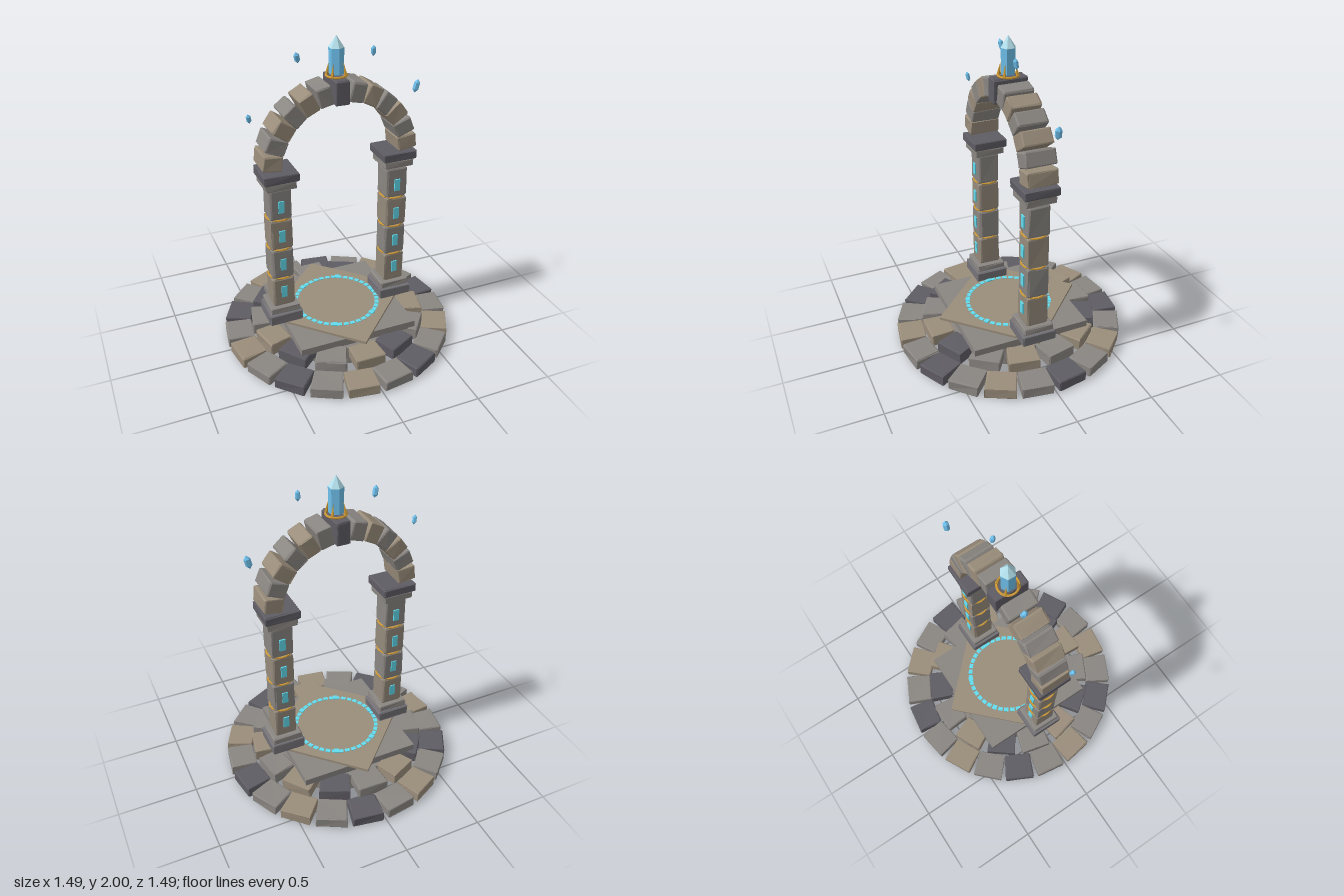
import * as THREE from 'three';
import { RoundedBoxGeometry } from 'three/addons/geometries/RoundedBoxGeometry.js';

const paint = (color) => new THREE.MeshStandardMaterial({ color, flatShading: true });
const tan = paint(0x9a8d7b), grey = paint(0x8a8682), dark = paint(0x5f5d64);
const shaftStone = paint(0x958a7c), capStone = paint(0x737176);
const gold = paint(0xcf9a35), glow = paint(0x62dcee);
const crystalBlue = paint(0x6fc0ec), crystalTip = paint(0xb5e2ee);

// Repeatable value in -1..1 from a point, so that shared corners move together
function hash(x, y, z, seed) {
  const s = Math.sin(x * 127.1 + y * 311.7 + z * 74.7 + seed * 19.3) * 43758.5453;
  return (s - Math.floor(s)) * 2 - 1;
}

function add(parent, name, geometry, material, x = 0, y = 0, z = 0) {
  const mesh = new THREE.Mesh(geometry, material);
  mesh.name = name;
  mesh.position.set(x, y, z);
  parent.add(mesh);
  return mesh;
}

// Hewn block: chamfered box, slightly uneven, optionally wider towards +x
let seed = 1;
function block(w, h, d, { chip = 0.003, taper = 0, bevel = 0.007 } = {}) {
  const geo = new RoundedBoxGeometry(w, h, d, 1, bevel);
  const p = geo.attributes.position;
  seed++;
  for (let i = 0; i < p.count; i++) {
    const [x, y, z] = [p.getX(i), p.getY(i), p.getZ(i)];
    const k = [x, y, z].map((v) => Math.round(v * 1000));
    p.setXYZ(i,
      x + chip * hash(k[0], k[1], k[2], seed),
      y + chip * 0.6 * hash(k[1], k[2], k[0], seed),
      z * (1 + taper * x / w) + chip * hash(k[2], k[0], k[1], seed));
  }
  geo.computeVertexNormals();
  return geo;
}

// Ring of wedge stones lying flat
function stoneRing(parent, name, count, radius, y, size, cycle) {
  const ring = new THREE.Group();
  ring.name = name;
  for (let i = 0; i < count; i++) {
    const a = ((i + 0.5) / count) * Math.PI * 2;
    const stone = add(ring, 'ringStone', block(...size, { taper: 0.1, chip: 0.003 }),
      cycle[i % cycle.length], Math.cos(a) * radius, y, Math.sin(a) * radius);
    stone.rotation.y = -a;
  }
  parent.add(ring);
}

function buildBase(root) {
  const base = new THREE.Group();
  base.name = 'base';
  root.add(base);
  stoneRing(base, 'outerStoneRing', 20, 0.653, 0.04, [0.168, 0.07, 0.188], [grey, tan, grey, dark]);
  stoneRing(base, 'innerStoneRing', 14, 0.488, 0.097, [0.156, 0.08, 0.188], [tan, grey, dark]);
  add(base, 'coreDisc', new THREE.CylinderGeometry(0.43, 0.43, 0.12, 40), grey, 0, 0.07, 0);
  add(base, 'squareSlab', new THREE.BoxGeometry(0.775, 0.05, 0.775), grey, 0, 0.155, 0);
  add(base, 'diamondSlab', new THREE.BoxGeometry(0.682, 0.018, 0.682), tan, 0, 0.187, 0)
    .rotation.y = Math.PI / 4;

  // Dashed glowing circle with six raised studs
  const circle = new THREE.Group();
  circle.name = 'glowCircle';
  base.add(circle);
  for (let i = 0; i < 40; i++) {
    const a = (i / 40) * Math.PI * 2;
    add(circle, 'glowDash', new THREE.BoxGeometry(0.026, 0.005, 0.032), glow,
      Math.cos(a) * 0.27, 0.197, Math.sin(a) * 0.27).rotation.y = -a;
  }
  for (let i = 0; i < 6; i++) {
    const a = THREE.MathUtils.degToRad(54 + i * 60);
    add(circle, 'glowStud', new THREE.BoxGeometry(0.032, 0.01, 0.032), glow,
      Math.cos(a) * 0.27, 0.199, Math.sin(a) * 0.27).rotation.y = -a;
  }
}

function buildPillar(root, side) {
  const pillar = new THREE.Group();
  pillar.name = side > 0 ? 'leftPillar' : 'rightPillar';
  pillar.position.x = side * 0.384;
  root.add(pillar);
  add(pillar, 'foot', block(0.217, 0.068, 0.217), capStone, 0, 0.23, 0);
  add(pillar, 'footStep', block(0.192, 0.044, 0.192), grey, 0, 0.287, 0);
  for (let i = 0; i < 4; i++) {
    add(pillar, 'shaftBlock', block(0.141, 0.205, 0.141, { bevel: 0.014 }),
      i % 2 ? grey : shaftStone, 0, 0.411 + i * 0.207, 0);
    for (const z of [-0.072, 0.072]) {
      add(pillar, 'glowPanel', new THREE.BoxGeometry(0.037, 0.078, 0.012), glow,
        0, 0.414 + i * 0.2013, z);
    }
    if (i < 3) {
      add(pillar, 'goldBand', new THREE.TorusGeometry(0.075, 0.006, 6, 28), gold,
        0, 0.5145 + i * 0.207, 0).rotation.x = Math.PI / 2;
    }
  }
  const lift = side > 0 ? 0.012 : 0;
  add(pillar, 'neck', block(0.19, 0.048, 0.19), grey, 0, 1.16 + lift, 0);
  add(pillar, 'capital', block(0.219, 0.054, 0.219), dark, 0, 1.214 + lift, 0);
}

function buildArch(root) {
  const arch = new THREE.Group();
  arch.name = 'arch';
  root.add(arch);
  for (let i = 0; i < 13; i++) {
    const a = THREE.MathUtils.degToRad(8 + i * (164 / 12));
    const key = i === 6;
    const mat = key ? dark : (i % 2 ? grey : tan);
    const size = key ? [0.145, 0.088, 0.214] : [0.119, 0.094, 0.19];
    add(arch, key ? 'keystone' : 'archStone', block(...size, { bevel: 0.009 }), mat,
      Math.cos(a) * 0.434, 1.253 + Math.sin(a) * 0.434, 0).rotation.z = a;
  }
}

// Six-sided gem turned from a few points
function gem(points) {
  return new THREE.LatheGeometry(points.map(([r, y]) => new THREE.Vector2(r, y)), 6);
}

function buildCrystals(root) {
  const finial = new THREE.Group();
  finial.name = 'crystalFinial';
  root.add(finial);
  add(finial, 'crystalBody', gem([[0, 1.77], [0.044, 1.775], [0.046, 1.93]]), crystalBlue);
  add(finial, 'crystalTip', gem([[0.046, 1.93], [0, 2]]), crystalTip);
  add(finial, 'goldRing', new THREE.TorusGeometry(0.06, 0.007, 6, 28), gold, 0, 1.767, 0)
    .rotation.x = Math.PI / 2;
  // Claws leaning in against the crystal
  for (let i = 0; i < 4; i++) {
    const claw = new THREE.Group();
    claw.name = 'goldClaw';
    claw.rotation.y = Math.PI / 4 + (i * Math.PI) / 2;
    add(claw, 'clawSpike', new THREE.ConeGeometry(0.011, 0.08, 5), gold, 0.053, 1.805, 0)
      .rotation.z = 0.2;
    finial.add(claw);
  }

  // Floating shards: x, y, z, height, lean
  const shards = [
    [-0.22, 1.88, -0.05, 0.075, 0.25], [0.211, 1.898, 0.045, 0.067, 0.05],
    [-0.545, 1.596, 0.045, 0.063, 0.22], [0.552, 1.61, -0.05, 0.088, -0.25],
  ];
  for (const [x, y, z, h, lean] of shards) {
    const r = h * 0.22;
    const shard = add(root, 'floatingShard',
      gem([[0, -h / 2], [r, -h * 0.25], [r, h * 0.25], [0, h / 2]]), crystalBlue, x, y, z);
    shard.rotation.set(0.12, 0.3, lean);
  }
}

export function createModel() {
  const root = new THREE.Group();
  root.name = 'stoneArchway';
  buildBase(root);
  buildPillar(root, -1);
  buildPillar(root, 1);
  buildArch(root);
  buildCrystals(root);
  return root;
}
